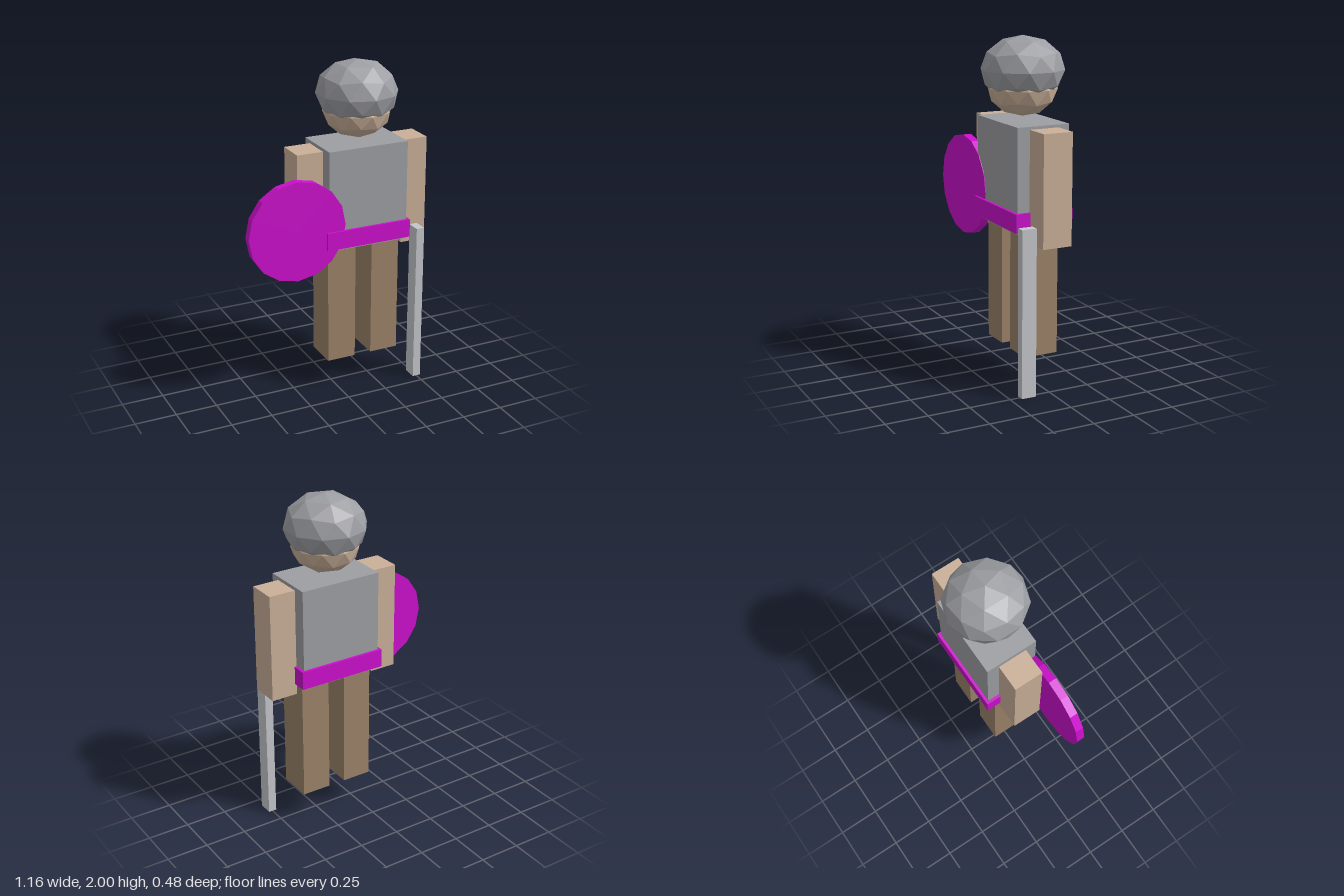
import * as THREE from 'three';

const mat = (name, color) => {
  const m = new THREE.MeshStandardMaterial({ color, flatShading: true });
  m.name = name;
  return m;
};

export function createModel() {
  const model = new THREE.Group();
  model.name = 'figure';

  const skin = mat('skin', 0xc9af98);
  const cloth = mat('brownCloth', 0x9b8268);
  const armour = mat('greyArmour', 0x9d9ea3);
  const steel = mat('paleSteel', 0xc4c6ca);
  const magenta = mat('magenta', 0xcc0fcc);

  const bodyX = 0.165; // the body stands off centre to make room for the shield

  const add = (name, geometry, material, x, y, z) => {
    const mesh = new THREE.Mesh(geometry, material);
    mesh.name = name;
    mesh.position.set(x, y, z);
    model.add(mesh);
    return mesh;
  };
  const box = (name, material, w, h, d, x, y, z) =>
    add(name, new THREE.BoxGeometry(w, h, d), material, x, y, z);

  // Faceted, flattened ball with a corner at each pole
  const ball = (name, material, r, ry, y) => {
    const g = new THREE.IcosahedronGeometry(1, 1);
    g.rotateX(-Math.atan((1 + Math.sqrt(5)) / 2));
    g.rotateY(Math.PI / 2);
    g.scale(r, ry, r);
    return add(name, g, material, bodyX, y, 0);
  };

  // Head, with the helmet overlapping its upper half
  ball('head', skin, 0.2, 0.16, 1.705);
  ball('helmet', armour, 0.24, 0.19, 1.81);

  // Torso and belt
  box('torso', armour, 0.5, 0.6, 0.322, bodyX, 1.225, 0);
  box('belt', magenta, 0.535, 0.108, 0.355, bodyX, 0.991, 0);

  // Arms and legs
  for (const [side, s] of [['left', 1], ['right', -1]]) {
    box(side + 'Arm', skin, 0.16, 0.64, 0.178, bodyX + s * 0.336, 1.19, 0);
    box(side + 'Leg', cloth, 0.178, 0.74, 0.21, bodyX + s * 0.142, 0.56, 0);
  }

  // Round shield in front of the right arm
  const disc = new THREE.CylinderGeometry(0.3, 0.3, 0.05, 16);
  disc.rotateX(Math.PI / 2);
  add('shield', disc, magenta, -0.283, 1.08, 0.139);

  // Sword blade hanging from the left hand
  box('sword', steel, 0.05, 0.98, 0.089, 0.5, 0.49, 0.143);

  return model;
}
